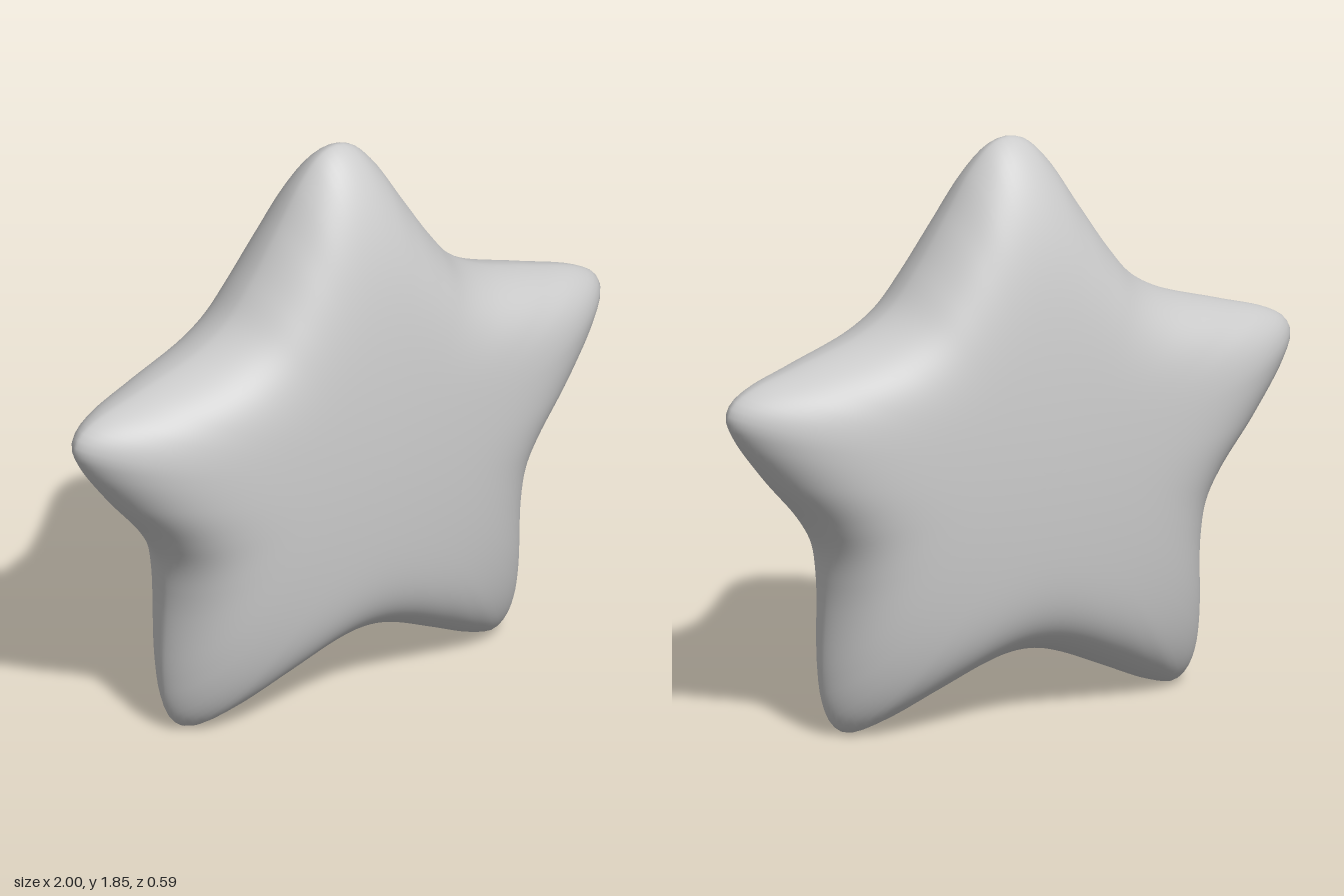
import * as THREE from 'three';
import { mergeVertices } from 'three/addons/utils/BufferGeometryUtils.js';

const CENTRE_Y = 0.83; // middle of the star
const HALF_DEPTH = 0.296;
const DOME_RADIUS = 1.5; // where the faces' shallow dome would reach zero depth
const COLUMNS = 240;
const ROWS = 72;

// Right half of the outline, from the top tip down to the bottom notch
const HALF_OUTLINE = [
  [0, 1.855], [0.06, 1.838], [0.13, 1.77], [0.225, 1.625], [0.33, 1.467], [0.42, 1.358],
  [0.53, 1.288], [0.76, 1.213], [0.92, 1.162], [0.982, 1.122], [1, 1.08], [0.973, 1.01],
  [0.866, 0.863], [0.73, 0.703], [0.672, 0.6], [0.653, 0.47], [0.662, 0.2], [0.652, 0.096],
  [0.625, 0.033], [0.58, 0.002], [0.49, 0.02], [0.33, 0.09], [0.17, 0.16], [0.075, 0.188], [0, 0.195],
];

// Closed, smooth, counter-clockwise outline of the whole star
function starOutline() {
  const left = HALF_OUTLINE.map(([x, y]) => new THREE.Vector3(-x, y, 0));
  const right = HALF_OUTLINE.slice(1, -1).reverse().map(([x, y]) => new THREE.Vector3(x, y, 0));
  return new THREE.CatmullRomCurve3([...left, ...right], true, 'centripetal').getSpacedPoints(COLUMNS);
}

// Half thickness at fraction t of the way from the centre to an edge at the given radius:
// one shallow dome over the whole face, dropping steeply to the rim
function halfThickness(t, radius) {
  const dome = 1 - (t * radius / DOME_RADIUS) ** 2;
  const notch = THREE.MathUtils.clamp((1.03 - radius) / 0.39, 0, 1);
  const wall = Math.max(0, 1 - t ** (6 + 2 * notch)) ** 0.6;
  return HALF_DEPTH * dome * wall;
}

// A sphere whose meridians are stretched to the outline, poles facing front and back
function puffyStarGeometry() {
  const outline = starOutline();
  const geometry = new THREE.SphereGeometry(1, COLUMNS, ROWS);
  const position = geometry.attributes.position;
  for (let row = 0; row <= ROWS; row++) {
    const t = row % ROWS === 0 ? 0 : Math.sin((row / ROWS) * Math.PI);
    const side = Math.sign(ROWS / 2 - row);
    for (let column = 0; column <= COLUMNS; column++) {
      const edge = outline[column % COLUMNS];
      const rise = edge.y - CENTRE_Y;
      position.setXYZ(
        row * (COLUMNS + 1) + column,
        edge.x * t,
        CENTRE_Y + rise * t,
        side * halfThickness(t, Math.hypot(edge.x, rise)),
      );
    }
  }
  // Weld the seam and poles so the normals are smooth everywhere
  geometry.deleteAttribute('uv');
  geometry.deleteAttribute('normal');
  const welded = mergeVertices(geometry, 1e-5);
  welded.computeVertexNormals();
  return welded;
}

export function createModel() {
  const group = new THREE.Group();
  group.name = 'puffyStar';
  const star = new THREE.Mesh(
    puffyStarGeometry(),
    new THREE.MeshStandardMaterial({ color: 0xcccccc }),
  );
  star.name = 'starBody';
  group.add(star);
  return group;
}
